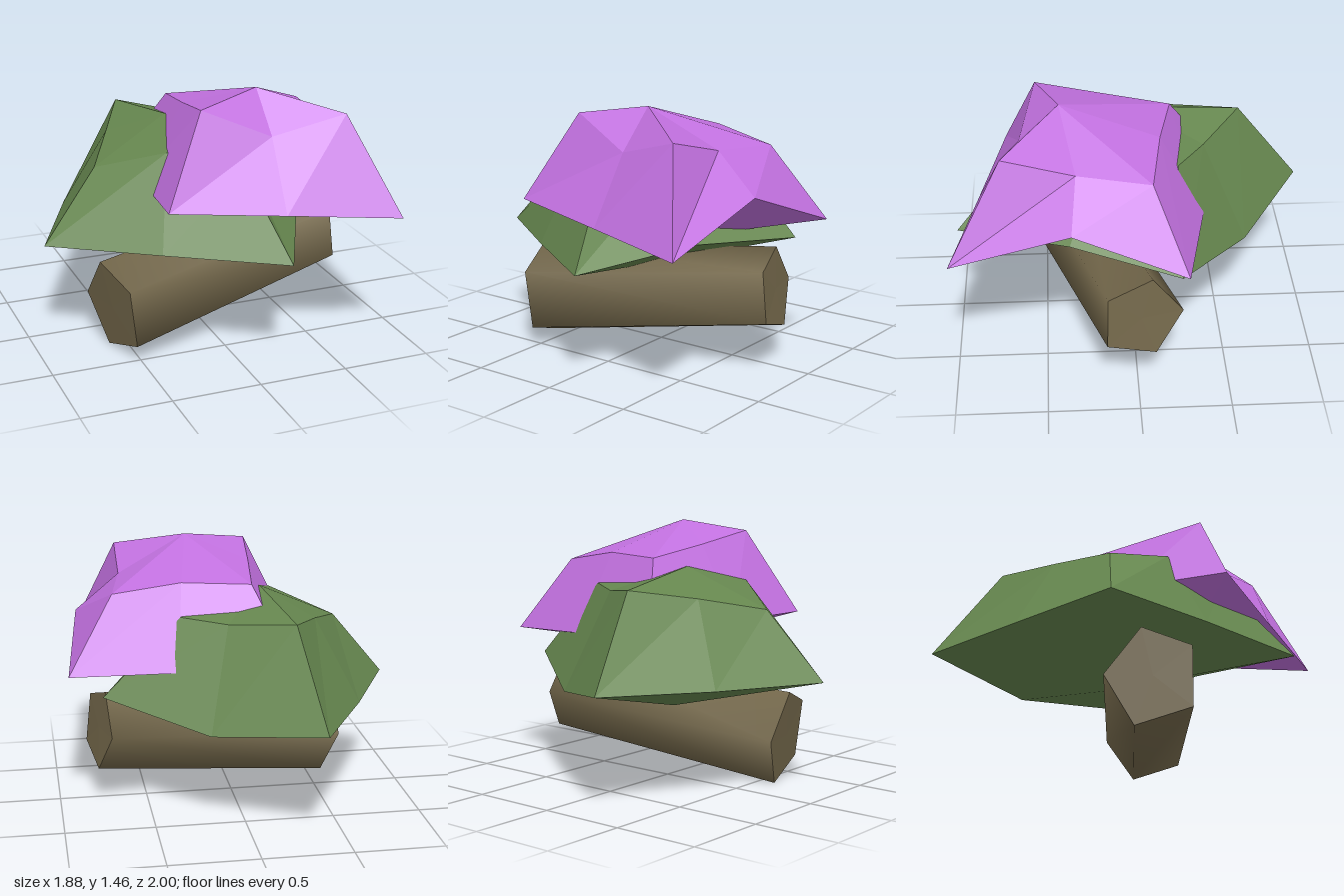
import * as THREE from 'three';
import { mergeVertices } from 'three/addons/utils/BufferGeometryUtils.js';

// Side walls between two matching rings (counterclockwise seen from the end ring)
function walls(start, end) {
  const out = [];
  start.forEach((p, i) => {
    const j = (i + 1) % start.length;
    out.push(p, start[j], end[j], p, end[j], end[i]);
  });
  return out;
}

// Fan of triangles from a centre point to a ring
function fan(centre, ring, flip = false) {
  const out = [];
  ring.forEach((p, i) => {
    const q = ring[(i + 1) % ring.length];
    out.push(centre, ...(flip ? [q, p] : [p, q]));
  });
  return out;
}

function toMesh(name, points, material, smooth = false) {
  let geometry = new THREE.BufferGeometry();
  geometry.setAttribute('position', new THREE.Float32BufferAttribute(points.flat(), 3));
  if (smooth) geometry = mergeVertices(geometry);
  geometry.computeVertexNormals();
  const mesh = new THREE.Mesh(geometry, material);
  mesh.name = name;
  return mesh;
}

// Faceted canopy: eight-point rim and crown rings, each closed by a centre point
function canopy(name, rim, crown, base, peak, material) {
  return toMesh(name, [...walls(rim, crown), ...fan(peak, crown), ...fan(base, rim, true)], material);
}

const average = (ring) => [0, 1, 2].map((k) => ring.reduce((s, p) => s + p[k], 0) / ring.length);

export function createModel() {
  const bark = new THREE.MeshStandardMaterial({ color: 0x74684b });
  bark.name = 'brown bark';
  const leaf = new THREE.MeshStandardMaterial({ color: 0x66874f });
  leaf.name = 'leaf green';
  const blossom = new THREE.MeshStandardMaterial({ color: 0xc271e0 });
  blossom.name = 'blossom purple';

  const model = new THREE.Group();
  model.name = 'plant';

  // Five-sided stem lying on its side, slightly tapered
  const lower = [
    [-0.57, 0.43, 0.545], [-0.53, 0.10, 0.535], [-0.595, 0, 0.235],
    [-0.67, 0.27, 0.09], [-0.655, 0.525, 0.29],
  ];
  const upper = [
    [0.80, 0.58, 0.165], [0.83, 0.295, 0.17], [0.78, 0.21, -0.10],
    [0.71, 0.44, -0.25], [0.73, 0.66, -0.08],
  ];
  const stem = new THREE.Group();
  stem.name = 'stem';
  stem.add(
    toMesh('stemSide', walls(lower, upper), bark, true),
    toMesh('stemEnds', [...fan(average(upper), upper), ...fan(average(lower), lower, true)], bark),
  );
  model.add(stem);

  // Green leaf clump
  model.add(canopy('leafClump',
    [
      [-0.94, 0.625, 0.20], [-0.40, 0.64, 0.595], [0.18, 0.65, 0.99], [0.49, 0.725, 0.36],
      [0.755, 0.68, -0.24], [0.21, 0.56, -0.64], [-0.35, 0.65, -1], [-0.66, 0.63, -0.40],
    ],
    [
      [-0.62, 1.01, 0.11], [-0.29, 1.13, 0.36], [0.05, 1.08, 0.61], [0.19, 1.1, 0.18],
      [0.32, 1.12, -0.24], [0.08, 1.11, -0.40], [-0.25, 1.155, -0.63], [-0.43, 1.09, -0.26],
    ],
    [-0.09, 0.43, -0.05], [-0.16, 1.23, -0.02], leaf));

  // Purple blossom resting on the leaves
  model.add(canopy('blossom',
    [
      [-0.41, 0.92, 0.715], [0.20, 0.875, 0.855], [0.81, 0.83, 1], [0.86, 1.035, 0.35],
      [0.94, 0.81, -0.26], [0.35, 0.845, -0.385], [-0.28, 0.85, -0.50], [-0.37, 0.92, 0.14],
    ],
    [
      [-0.16, 1.40, 0.53], [0.21, 1.24, 0.62], [0.60, 1.35, 0.71], [0.61, 1.25, 0.32],
      [0.68, 1.225, -0.08], [0.30, 1.29, -0.14], [-0.08, 1.285, -0.22], [-0.125, 1.34, 0.16],
    ],
    [0.27, 0.705, 0.26], [0.21, 1.455, 0.40], blossom));

  return model;
}
